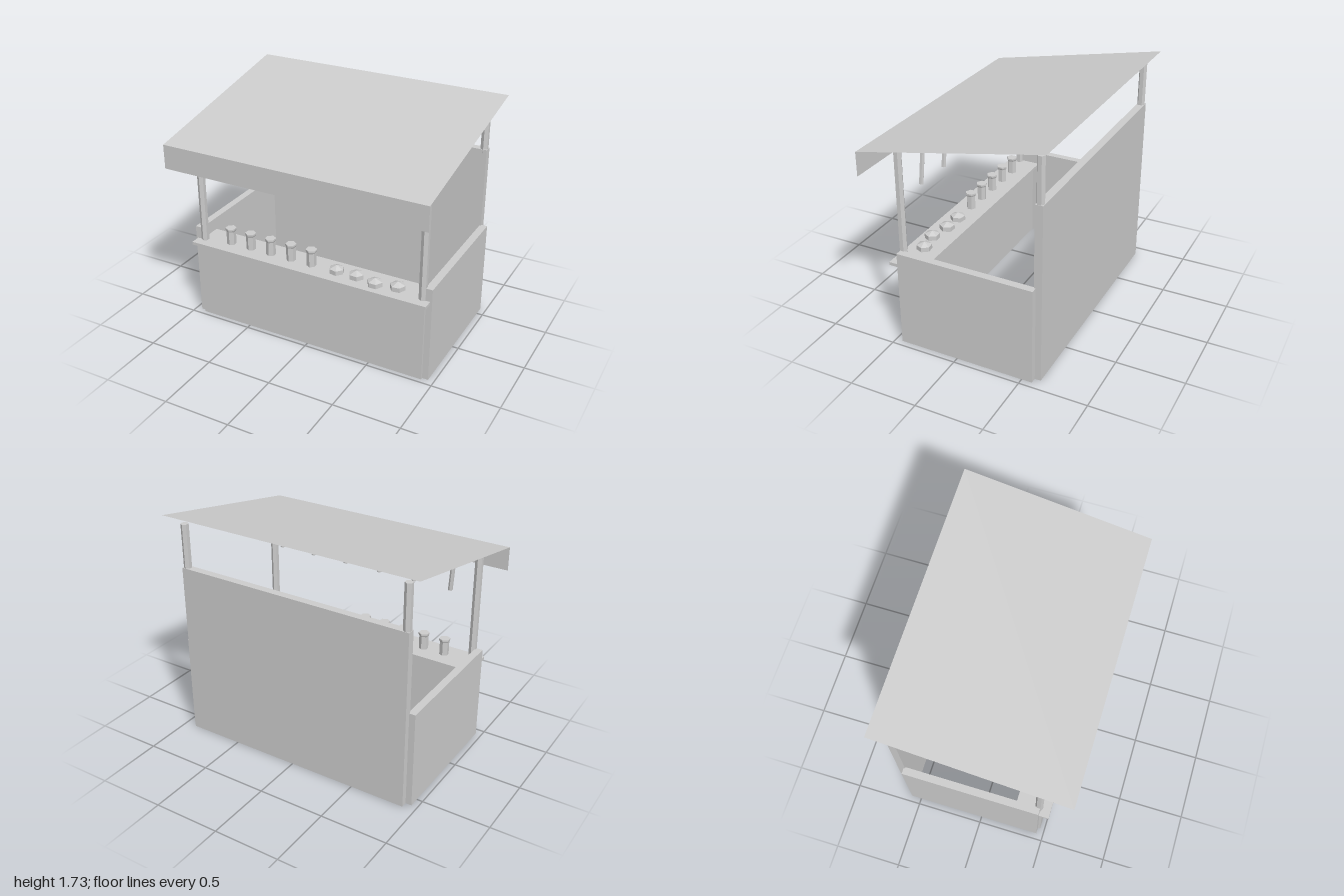
import * as THREE from 'three';

export function createModel() {
  const group = new THREE.Group();
  const grey = new THREE.MeshStandardMaterial({ color: 0xcccccc, flatShading: true, side: THREE.DoubleSide });
  grey.name = 'light grey';

  const add = (name, geometry, x = 0, y = 0, z = 0) => {
    const mesh = new THREE.Mesh(geometry, grey);
    mesh.name = name;
    mesh.position.set(x, y, z);
    group.add(mesh);
    return mesh;
  };
  // Box given by its limits on each axis
  const box = (name, x0, x1, y0, y1, z0, z1) =>
    add(name, new THREE.BoxGeometry(x1 - x0, y1 - y0, z1 - z0),
      (x0 + x1) / 2, (y0 + y1) / 2, (z0 + z1) / 2);
  // Six-sided solid from a [radius, height] profile
  const hexLathe = (profile) =>
    new THREE.LatheGeometry(profile.map(([r, y]) => new THREE.Vector2(r, y)), 6);

  // Stall body, open underneath
  box('frontPanel', -0.91, 0.91, 0, 0.62, 0.32, 0.466);
  box('backWall', -0.91, 0.91, 0, 1.335, -0.622, -0.565);
  box('rightSideWall', -0.955, -0.9, 0, 0.727, -0.577, 0.448);
  box('leftSideWall', 0.9, 0.955, 0, 0.727, -0.577, 0.448);
  box('counter', -0.94, 0.94, 0.61, 0.633, 0.268, 0.522);

  // Hexagonal roof posts
  for (const side of [-1, 1]) {
    for (const [name, z, y0, y1] of [['frontPost', 0.436, 0.62, 1.485], ['backPost', -0.593, 1.3, 1.665]]) {
      add(name, new THREE.CylinderGeometry(0.029, 0.029, y1 - y0, 6), side * 0.882, (y0 + y1) / 2, z);
    }
  }

  // Sloping canopy sheet with a hanging front valance
  const drop = 0.27, depth = 1.364;
  const roof = add('roof', new THREE.PlaneGeometry(2, Math.hypot(drop, depth)), 0, 1.595, 0);
  roof.rotation.x = -Math.PI / 2 + Math.atan2(drop, depth);
  add('valance', new THREE.PlaneGeometry(2, 0.18), 0, 1.37, 0.682);

  // Cups with flared rims
  const cupShape = hexLathe([[0, 0], [0.035, 0], [0.035, 0.105], [0.041, 0.118], [0.041, 0.13], [0, 0.13]]);
  [-0.671, -0.5, -0.33, -0.16, 0.008].forEach((x, i) => {
    add('cup', cupShape, x, 0.633, 0.4).rotation.y = [0.08, -0.06, 0.05, -0.08, 0.04][i];
  });

  // Low buns with pointed tops
  const bunShape = hexLathe([[0, 0], [0.055, 0], [0.055, 0.034], [0, 0.058]]);
  [[0.21, 0.4], [0.366, 0.4], [0.523, 0.43], [0.68, 0.4]].forEach(([x, z], i) => {
    add('bun', bunShape, x, 0.633, z).rotation.y = 0.35 + 0.1 * i;
  });

  // Tilted rods hanging under the canopy
  const rodShape = new THREE.CylinderGeometry(0.017, 0.017, 0.238, 6);
  for (let i = 0; i < 6; i++) {
    add('hangingRod', rodShape, -0.721 + i * 0.291, 1.305, 0.35).rotation.set(-0.045, 0, 0.08);
  }
  return group;
}
